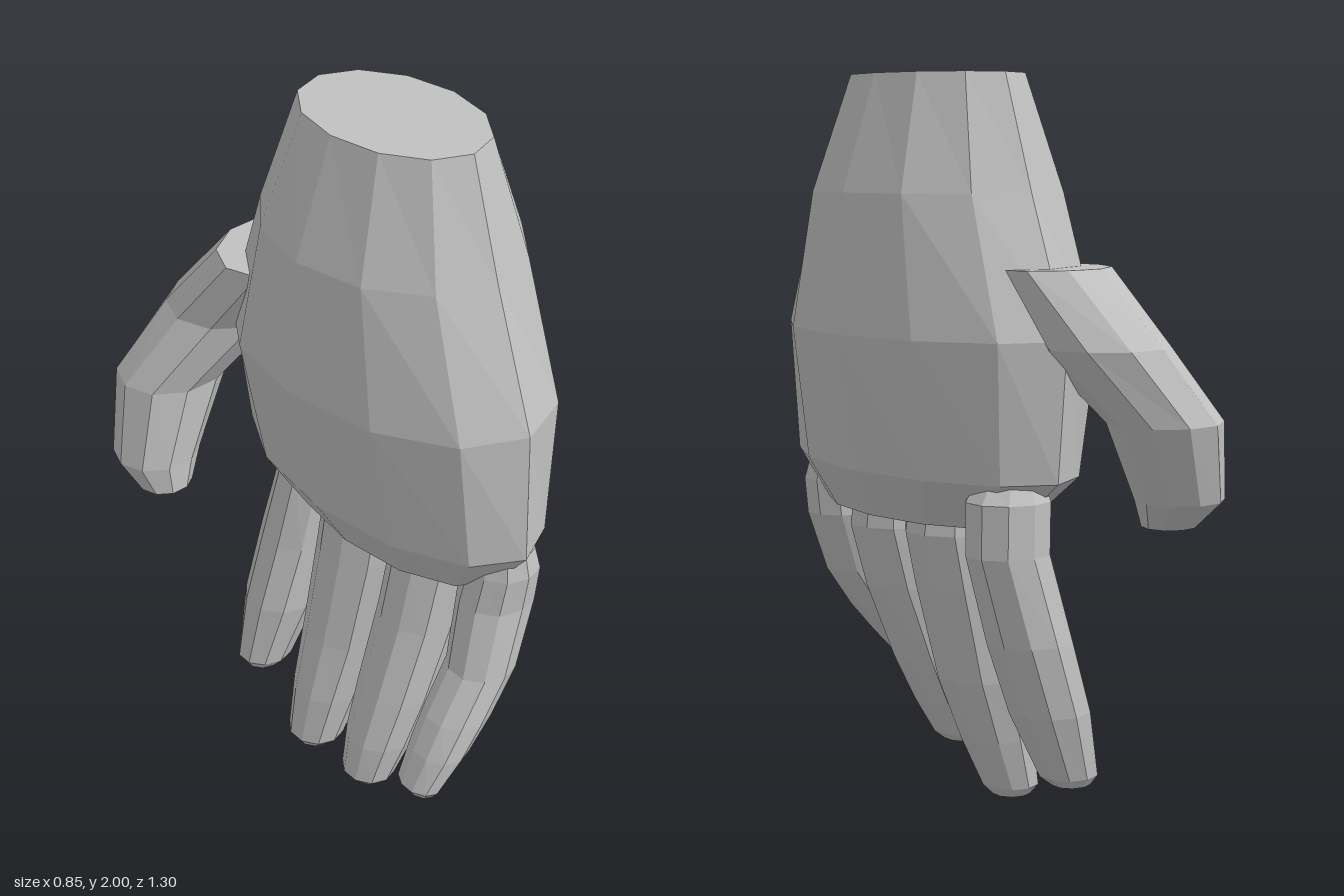
import * as THREE from 'three';

const skin = new THREE.MeshStandardMaterial({ color: 0xc0c0c0 });
skin.name = 'plainGrey';

// Faceted closed loft through horizontal oval rings [y, centreX, centreZ, radiusX, radiusZ], top to bottom.
function loft(name, rings, sides, turn = 0) {
  const c = Math.cos(turn), s = Math.sin(turn);
  const point = ([y, cx, cz, rx, rz], i) => {
    const a = (i / sides) * Math.PI * 2;
    const u = rx * Math.sin(a), v = rz * Math.cos(a);
    return [cx + u * c + v * s, y, cz - u * s + v * c];
  };
  const centre = ([y, cx, cz]) => [cx, y, cz];
  const first = rings[0], last = rings[rings.length - 1];
  const pos = [];
  for (let i = 0; i < sides; i++) {
    for (let r = 0; r < rings.length - 1; r++) {
      const a = point(rings[r], i), b = point(rings[r + 1], i);
      const d = point(rings[r], i + 1), e = point(rings[r + 1], i + 1);
      pos.push(...a, ...b, ...e, ...a, ...e, ...d);
    }
    pos.push(...centre(first), ...point(first, i), ...point(first, i + 1));
    pos.push(...centre(last), ...point(last, i + 1), ...point(last, i));
  }
  const geo = new THREE.BufferGeometry();
  geo.setAttribute('position', new THREE.Float32BufferAttribute(pos, 3));
  geo.computeVertexNormals(); // unshared corners give flat facets
  const mesh = new THREE.Mesh(geo, skin);
  mesh.name = name;
  return mesh;
}

export function createModel() {
  const hand = new THREE.Group();
  hand.name = 'hand';

  // Palm, from the cut wrist to the knuckles
  hand.add(loft('palm', [
    [2.0, 0.09, 0.1, 0.2, 0.295],
    [1.69, 0.088, 0.1, 0.308, 0.4],
    [1.32, 0.087, 0.1, 0.336, 0.54],
    [0.95, 0.085, 0.125, 0.268, 0.53],
    [0.815, 0.085, 0.155, 0.19, 0.39],
  ], 12));

  // Thumb, curling out from the back edge of the palm
  hand.add(loft('thumb', [
    [1.5, 0.02, -0.28, 0.195, 0.16],
    [1.3, -0.05, -0.42, 0.185, 0.175],
    [1.1, -0.2, -0.5, 0.17, 0.15],
    [0.88, -0.295, -0.46, 0.128, 0.12],
    [0.8, -0.305, -0.41, 0.08, 0.075],
  ], 10, 0.34));

  // Four fingers, each bending inward towards its tip
  const fingers = {
    indexFinger: [
      [0.95, 0.13, -0.26, 0.09, 0.09],
      [0.9, 0.14, -0.27, 0.12, 0.11],
      [0.76, 0.145, -0.275, 0.12, 0.108],
      [0.52, 0.08, -0.285, 0.12, 0.118],
      [0.32, 0.01, -0.285, 0.115, 0.112],
      [0.13, -0.06, -0.285, 0.085, 0.078],
      [0.1, -0.07, -0.285, 0.055, 0.052],
    ],
    middleFinger: [
      [0.9, 0.1, 0.01, 0.12, 0.125],
      [0.78, 0.105, 0.01, 0.135, 0.137],
      [0.64, 0.08, 0.008, 0.13, 0.137],
      [0.36, 0.02, 0, 0.12, 0.125],
      [0.18, -0.04, 0, 0.105, 0.107],
      [0.03, -0.09, 0, 0.08, 0.085],
      [0, -0.095, 0, 0.055, 0.055],
    ],
    ringFinger: [
      [0.9, 0.1, 0.28, 0.115, 0.115],
      [0.76, 0.105, 0.285, 0.125, 0.125],
      [0.58, 0.055, 0.288, 0.12, 0.122],
      [0.36, -0.03, 0.292, 0.11, 0.113],
      [0.22, -0.09, 0.294, 0.096, 0.1],
      [0.11, -0.135, 0.295, 0.072, 0.08],
      [0.085, -0.14, 0.295, 0.045, 0.055],
    ],
    littleFinger: [
      [0.92, 0.12, 0.53, 0.085, 0.09],
      [0.86, 0.12, 0.535, 0.1, 0.1],
      [0.76, 0.105, 0.53, 0.108, 0.102],
      [0.58, 0.035, 0.558, 0.096, 0.094],
      [0.46, -0.05, 0.565, 0.092, 0.092],
      [0.37, -0.115, 0.568, 0.075, 0.086],
      [0.275, -0.18, 0.565, 0.05, 0.07],
      [0.25, -0.182, 0.565, 0.032, 0.05],
    ],
  };
  for (const [name, rings] of Object.entries(fingers)) hand.add(loft(name, rings, 10));

  return hand;
}
